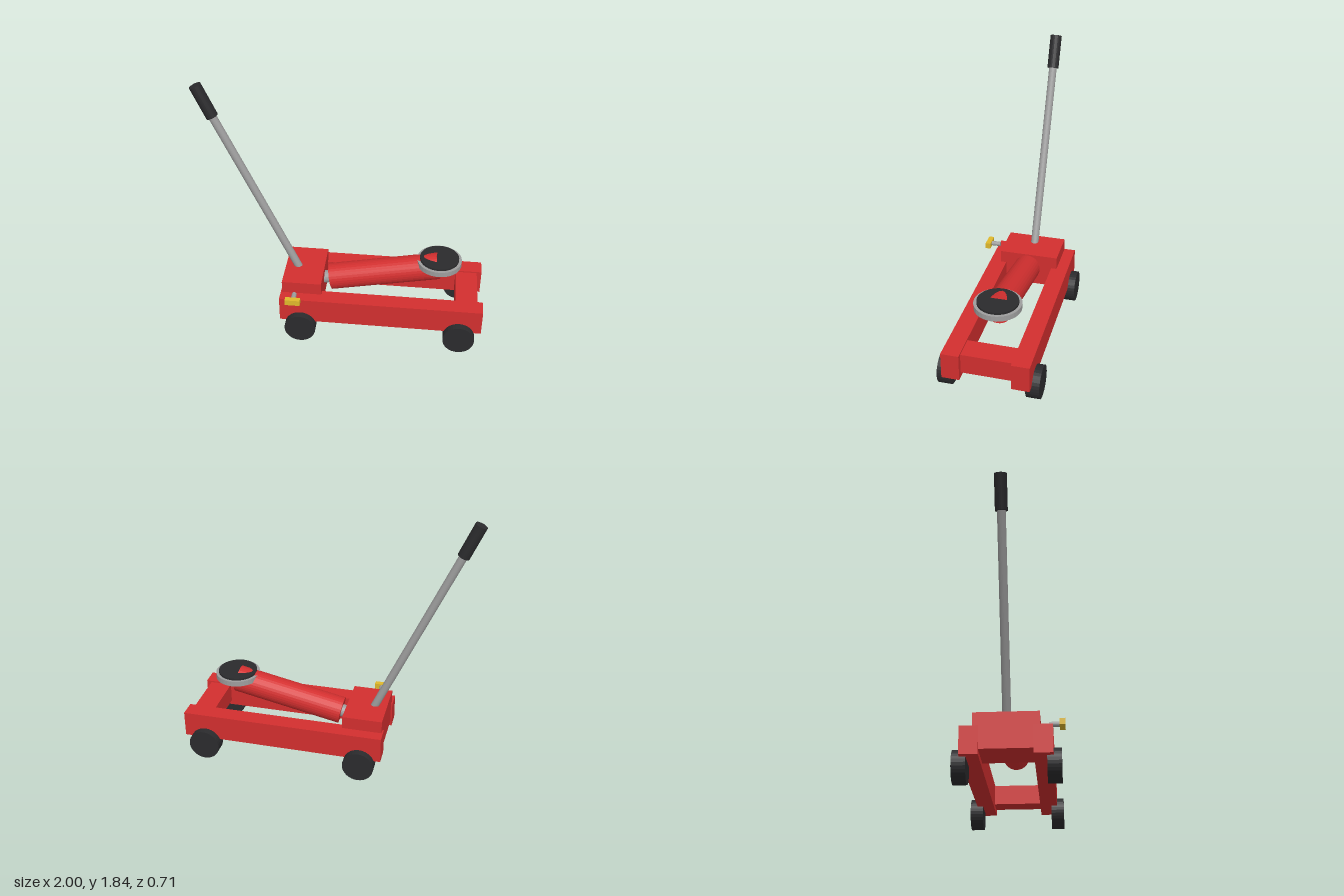
import * as THREE from 'three';

const material = (color) => new THREE.MeshStandardMaterial({ color, flatShading: true });

export function createModel() {
  const model = new THREE.Group();
  model.name = 'floorJack';
  const red = material(0xd32f2f);
  const dark = material(0x2b2b2d);
  const steel = material(0x9e9e9e);
  const yellow = material(0xe0b92c);
  const midZ = -0.015;

  // Box given by its low and high corners
  function box(name, mat, lo, hi) {
    const size = hi.map((v, i) => v - lo[i]);
    const mesh = new THREE.Mesh(new THREE.BoxGeometry(...size), mat);
    mesh.position.set(...lo.map((v, i) => (v + hi[i]) / 2));
    mesh.name = name;
    model.add(mesh);
  }

  // Cylinder running from one point to another
  function rod(name, mat, radius, from, to, sides = 32) {
    const a = new THREE.Vector3(...from);
    const b = new THREE.Vector3(...to);
    const axis = b.clone().sub(a);
    const mesh = new THREE.Mesh(new THREE.CylinderGeometry(radius, radius, axis.length(), sides), mat);
    mesh.position.copy(a).add(b).multiplyScalar(0.5);
    mesh.quaternion.setFromUnitVectors(new THREE.Vector3(0, 1, 0), axis.normalize());
    mesh.name = name;
    model.add(mesh);
  }

  // Side rails and wheels, mirrored about the middle plane
  for (const side of [-1, 1]) {
    const label = side > 0 ? 'front' : 'back';
    const inner = midZ + side * 0.17;
    const outer = midZ + side * 0.29;
    box(label + 'Rail', red, [-0.43, 0.145, Math.min(inner, outer)], [1, 0.33, Math.max(inner, outer)]);
    for (const x of [-0.28, 0.845]) {
      rod(label + (x > 0 ? 'LeftWheel' : 'RightWheel'), dark, 0.11,
        [x, 0.11, midZ + side * 0.25], [x, 0.11, midZ + side * 0.34]);
    }
  }

  // Cross member and pump block
  box('crossMember', red, [0.81, 0.18, midZ - 0.18], [0.965, 0.32, midZ + 0.18]);
  box('pumpBlock', red, [-0.42, 0.18, midZ - 0.21], [-0.14, 0.42, midZ + 0.21]);

  // Sloping lift cylinder and its piston rod
  rod('liftCylinder', red, 0.095, [-0.092, 0.337, midZ], [0.678, 0.498, midZ]);
  rod('pistonRod', steel, 0.045, [-0.145, 0.326, midZ], [0, 0.356, midZ], 24);

  // Saddle plate with rubber pad
  rod('saddle', steel, 0.158, [0.68, 0.52, midZ], [0.68, 0.558, midZ]);
  rod('saddlePad', dark, 0.138, [0.68, 0.55, midZ], [0.68, 0.572, midZ]);

  // Pump handle and grip
  rod('handle', steel, 0.028, [-0.325, 0.4, midZ], [-0.875, 1.62, midZ], 24);
  rod('handleGrip', dark, 0.041, [-0.867, 1.602, midZ], [-0.962, 1.819, midZ], 24);

  // Release valve
  rod('valveStem', steel, 0.017, [-0.322, 0.365, 0.25], [-0.322, 0.365, 0.33], 16);
  box('valveKnob', yellow, [-0.375, 0.345, 0.315], [-0.27, 0.387, 0.352]);

  return model;
}
